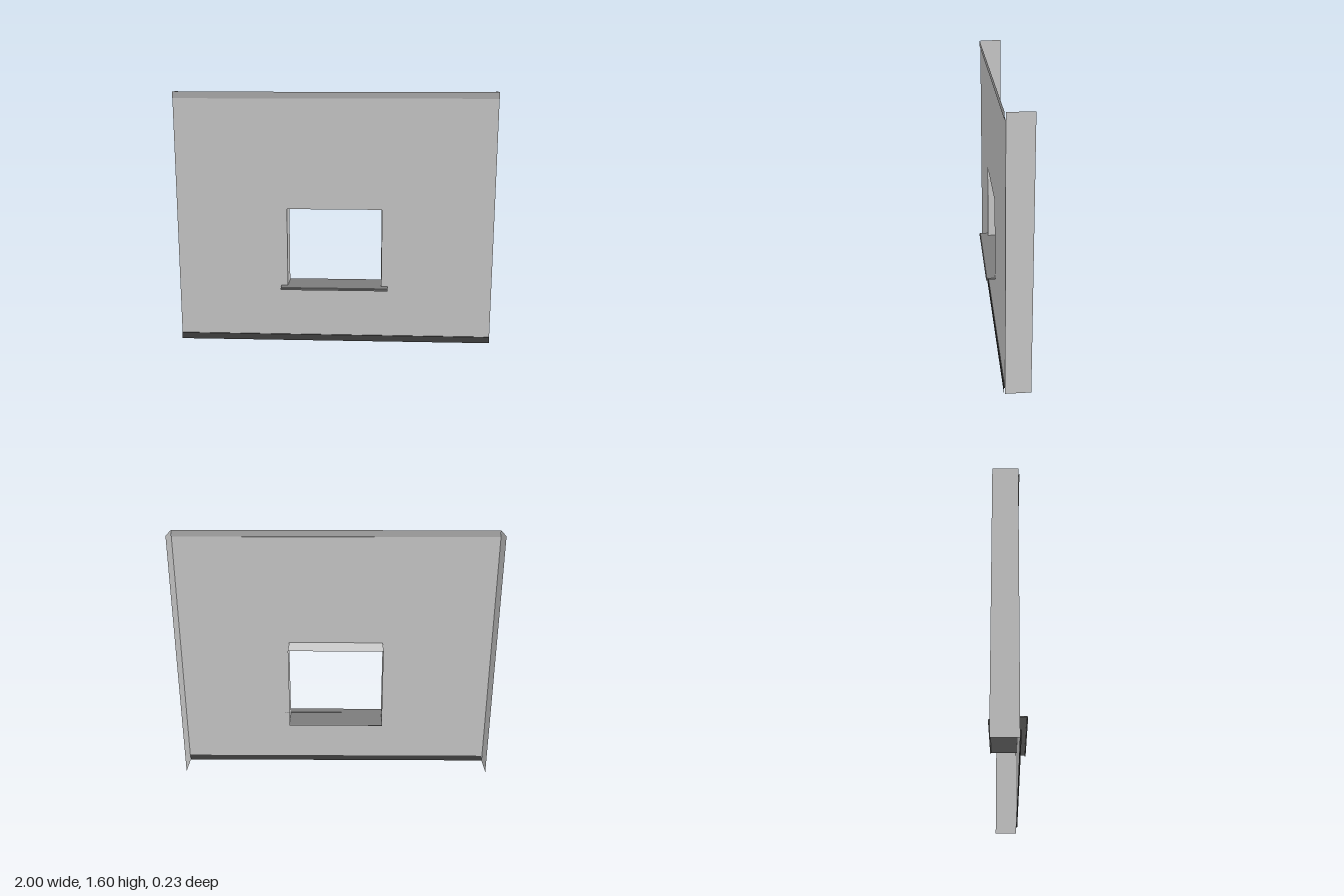
import * as THREE from 'three';

const PANEL_Z = 0.058, BAND_Z = 0.064, BACK_Z = -0.088;
const TOP = 1.6, BAND = 0.04;
const WIN = { x: 0.3, y0: 0.366, y1: 0.87 };

const material = (color) => new THREE.MeshStandardMaterial({ color, side: THREE.DoubleSide, flatShading: true });

function add(group, name, geometry, mat) {
  const mesh = new THREE.Mesh(geometry, mat);
  mesh.name = name;
  group.add(mesh);
  return mesh;
}

// Extrudes a [z, y] section along x, centred on x = 0
function extrudeAcross(section, width) {
  const shape = new THREE.Shape(section.map(([z, y]) => new THREE.Vector2(z, y)));
  return new THREE.ExtrudeGeometry(shape, { depth: width, bevelEnabled: false })
    .rotateY(-Math.PI / 2)
    .translate(width / 2, 0, 0);
}

export function createModel() {
  const group = new THREE.Group();
  group.name = 'wallPanelWithWindow';
  const sheet = material(0xcccccc);
  const topTrim = material(0xafafaf);
  const baseTrim = material(0x424242);
  const sillMat = material(0x7c7c7c);

  // Facing sheet with the window opening
  const face = new THREE.Shape([
    new THREE.Vector2(-1, BAND), new THREE.Vector2(1, BAND),
    new THREE.Vector2(1, TOP - BAND), new THREE.Vector2(-1, TOP - BAND),
  ]);
  face.holes.push(new THREE.Path([
    new THREE.Vector2(-WIN.x, WIN.y0), new THREE.Vector2(-WIN.x, WIN.y1),
    new THREE.Vector2(WIN.x, WIN.y1), new THREE.Vector2(WIN.x, WIN.y0),
  ]));
  add(group, 'facingSheet', new THREE.ShapeGeometry(face).translate(0, 0, PANEL_Z), sheet);

  // Top and base trims, each standing proud with a small return to the sheet
  const trims = [['topTrim', TOP - BAND / 2, TOP - BAND, topTrim], ['baseTrim', BAND / 2, BAND, baseTrim]];
  for (const [name, middle, edge, mat] of trims) {
    add(group, name, new THREE.PlaneGeometry(2, BAND).translate(0, middle, BAND_Z), mat);
    add(group, name + 'Return', new THREE.PlaneGeometry(2, BAND_Z - PANEL_Z)
      .rotateX(-Math.PI / 2).translate(0, edge, (BAND_Z + PANEL_Z) / 2), mat);
  }

  // Side flanges and window jambs, mirrored
  const depth = PANEL_Z - BACK_Z, midZ = (PANEL_Z + BACK_Z) / 2;
  for (const [side, s] of [['left', 1], ['right', -1]]) {
    add(group, side + 'Flange', new THREE.PlaneGeometry(depth, TOP)
      .rotateY(s * Math.PI / 2).translate(s, TOP / 2, midZ), sheet);
    add(group, side + 'Jamb', new THREE.PlaneGeometry(depth, WIN.y1 - WIN.y0)
      .rotateY(-s * Math.PI / 2).translate(s * WIN.x, (WIN.y0 + WIN.y1) / 2, midZ), sheet);
  }

  // Window head
  add(group, 'windowHead', new THREE.PlaneGeometry(WIN.x * 2, depth)
    .rotateX(Math.PI / 2).translate(0, WIN.y1, midZ), sheet);

  // Sill: thin sheet through the opening, with a wider nosing and drip lip in front
  add(group, 'innerSill', extrudeAcross([
    [PANEL_Z, 0.368], [-0.108, 0.368], [-0.116, 0.363],
    [-0.115, 0.361], [-0.108, 0.366], [PANEL_Z, 0.366],
  ], WIN.x * 2), sillMat);
  add(group, 'sillNosing', extrudeAcross([
    [PANEL_Z, 0.362], [0.108, 0.362], [0.108, 0.355], [0.115, 0.355],
    [0.115, 0.365], [0.11, 0.37], [PANEL_Z, 0.37],
  ], 0.68), sillMat);

  return group;
}
